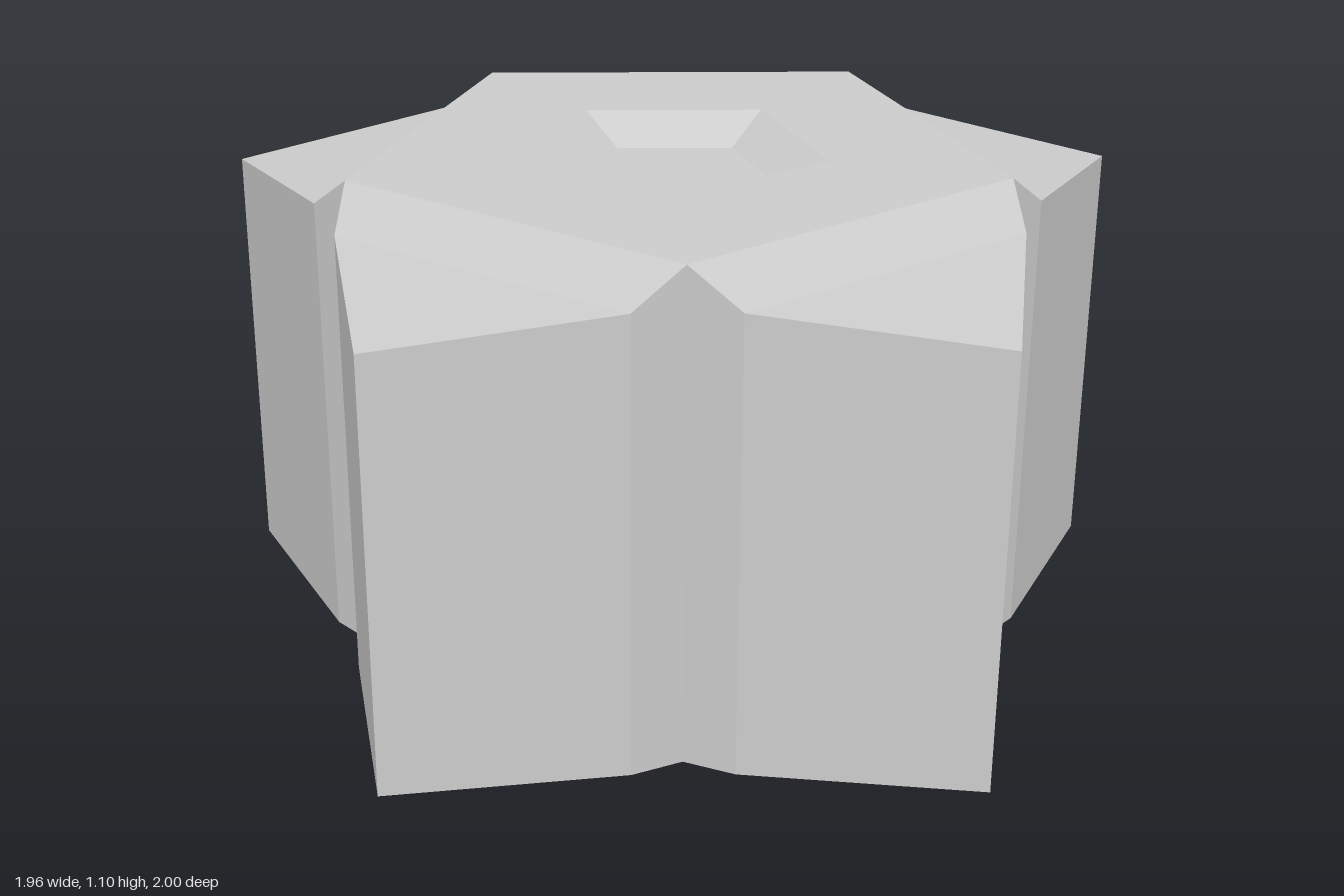
import * as THREE from 'three';

const SIDES = 5, STEP = (2 * Math.PI) / SIDES;
const TIP_ANGLE = THREE.MathUtils.degToRad(30.7);
const HALF = STEP / 2;
const SHOULDER = THREE.MathUtils.degToRad(28.2);

// Point from radius, height and angle (angle runs from +x towards +z)
const polar = (r, y, a) => new THREE.Vector3(r * Math.cos(a), y, r * Math.sin(a));
const ground = (p) => new THREE.Vector3(p.x, 0, p.z);

// Flat-faced mesh from convex polygons, each wound counter-clockwise from outside
function facetMesh(name, polygons) {
  const points = [];
  for (const poly of polygons)
    for (let i = 1; i < poly.length - 1; i++) points.push(poly[0], poly[i], poly[i + 1]);
  const geometry = new THREE.BufferGeometry().setFromPoints(points);
  geometry.computeVertexNormals();
  const mesh = new THREE.Mesh(
    geometry,
    new THREE.MeshStandardMaterial({ color: 0xcccccc, flatShading: true })
  );
  mesh.name = name;
  return mesh;
}

// One star point: bevel beside the raised top, sloping tip, side walls, underside
function starPoint(angle) {
  const outline = [
    polar(0.734, 1.1, angle - HALF),
    polar(0.79, 1.02, angle - SHOULDER),
    polar(1.056, 0.97, angle),
    polar(0.79, 1.02, angle + SHOULDER),
    polar(0.734, 1.1, angle + HALF),
  ];
  const [a, b, tip, c, d] = outline;
  const faces = [[a, d, c, b], [b, c, tip]];
  for (let i = 0; i < 4; i++) {
    const p = outline[i], q = outline[i + 1];
    faces.push([ground(p), p, q, ground(q)]);
  }
  faces.push([new THREE.Vector3(), ...outline.map(ground)]);
  return facetMesh('starPoint', faces);
}

// Raised pentagon top with a sloped recess, made as rings stepping inwards
function topPlate() {
  const rings = [[0.734, 1.1], [0.341, 1.1], [0.22, 1.04]];
  const faces = [];
  for (let i = 0; i < SIDES; i++) {
    const a = TIP_ANGLE - HALF + i * STEP, b = a + STEP;
    for (let k = 0; k < 2; k++) {
      const [r0, y0] = rings[k], [r1, y1] = rings[k + 1];
      faces.push([polar(r0, y0, a), polar(r1, y1, a), polar(r1, y1, b), polar(r0, y0, b)]);
    }
    // Recess floor
    const [r, y] = rings[2];
    faces.push([new THREE.Vector3(0, y, 0), polar(r, y, b), polar(r, y, a)]);
  }
  return facetMesh('recessedTop', faces);
}

export function createModel() {
  const group = new THREE.Group();
  group.name = 'starBlock';
  const body = new THREE.Group();
  body.name = 'body';
  body.add(topPlate());
  for (let i = 0; i < SIDES; i++) body.add(starPoint(TIP_ANGLE + i * STEP));
  // Shift so the star's bounds are centred
  body.position.set(0.072, 0, -0.03);
  group.add(body);
  return group;
}
